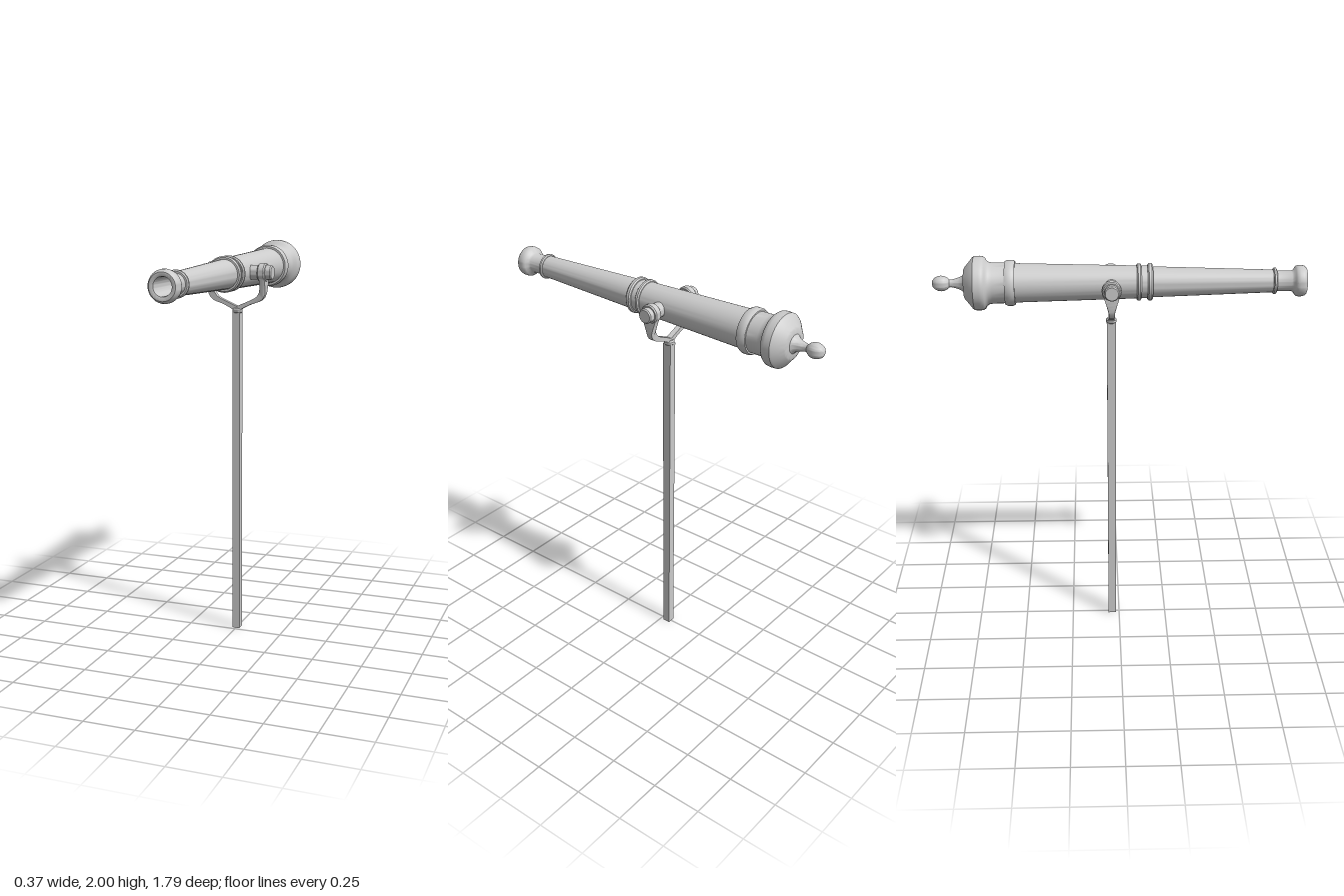
import * as THREE from 'three';
import { toCreasedNormals } from 'three/addons/utils/BufferGeometryUtils.js';

const AXIS_Y = 1.873; // height of the barrel axis
const PIVOT_Z = -0.037; // trunnions, fork and post
const mat = new THREE.MeshStandardMaterial({ color: 0xcccccc });

function add(group, name, geometry, x = 0, y = 0, z = 0) {
  const mesh = new THREE.Mesh(geometry, mat);
  mesh.name = name;
  mesh.position.set(x, y, z);
  group.add(mesh);
  return mesh;
}

// Turned part: profile of [radius, position along the axis], listed upward
function turned(profile, segments = 48, crease = 0.6) {
  const pts = profile.map(([r, a]) => new THREE.Vector2(r, a));
  return toCreasedNormals(new THREE.LatheGeometry(pts, segments), crease);
}

// Rounded moulding centred at a, from radius r0 before to r1 after
function moulding(a, half, peak, r0, r1) {
  return [[r0, a - half], [peak - 0.006, a - half], [peak, a - half * 0.5],
    [peak, a + half * 0.5], [peak - 0.006, a + half], [r1, a + half]];
}

function barrel() {
  return turned([
    // knob and neck
    [0, -0.891], [0.014, -0.888], [0.026, -0.879], [0.034, -0.864], [0.037, -0.848],
    [0.035, -0.832], [0.028, -0.818], [0.019, -0.808], [0.018, -0.8],
    [0.021, -0.785], [0.027, -0.765], [0.035, -0.748], [0.045, -0.739],
    // breech
    [0.07, -0.737], [0.077, -0.733], [0.098, -0.715], [0.121, -0.697], [0.128, -0.688],
    [0.129, -0.66], [0.127, -0.646], [0.12, -0.636], [0.108, -0.63], [0.1, -0.618], [0.097, -0.6],
    // tapering tube with mouldings
    ...moulding(-0.518, 0.024, 0.109, 0.096, 0.093),
    ...moulding(0.095, 0.011, 0.088, 0.078, 0.077),
    ...moulding(0.148, 0.013, 0.088, 0.077, 0.073),
    ...moulding(0.745, 0.009, 0.063, 0.054, 0.049),
    // muzzle swell
    [0.048, 0.825], [0.054, 0.835], [0.066, 0.842], [0.073, 0.85], [0.075, 0.863],
    [0.074, 0.878], [0.07, 0.889], [0.063, 0.896], [0.056, 0.897], [0.044, 0.892],
    // bore
    [0.041, 0.88], [0.039, 0.65], [0.03, 0.62], [0, 0.61],
  ]).rotateX(Math.PI / 2);
}

// U-shaped fork: curved outline, wider front to back near the eyes
function fork() {
  const curve = (pts) => new THREE.SplineCurve(pts.map(([x, y]) => new THREE.Vector2(x, y))).getPoints(40);
  const outer = [[0.152, 1.86], [0.153, 1.8], [0.148, 1.762], [0.125, 1.733], [0.07, 1.712], [0.026, 1.69], [0.018, 1.68]];
  const inner = [[0, 1.703], [0.03, 1.716], [0.08, 1.738], [0.108, 1.757], [0.122, 1.79], [0.126, 1.86]];
  const right = [...curve(outer).reverse(), ...curve(inner).reverse()];
  // closed outline: up the +x outside, along the inside, down the -x outside
  const out = curve(outer).reverse();
  const inn = curve(inner).reverse();
  const flip = (p) => new THREE.Vector2(-p.x, p.y);
  const outline = [...out, ...inn, ...inn.slice(0, -1).reverse().map(flip), ...out.slice().reverse().map(flip)];
  const geo = new THREE.ExtrudeGeometry(new THREE.Shape(outline), {
    depth: 2, steps: 1, bevelEnabled: false,
  }).translate(0, 0, -1);
  const pos = geo.attributes.position;
  for (let i = 0; i < pos.count; i++) {
    const flare = THREE.MathUtils.smoothstep(pos.getY(i), 1.76, 1.86);
    pos.setZ(i, pos.getZ(i) * (0.014 + 0.024 * flare));
  }
  return toCreasedNormals(geo, 0.6);
}

export function createModel() {
  const model = new THREE.Group();
  model.name = 'swivelGun';

  add(model, 'barrel', barrel(), 0, AXIS_Y, 0);

  // Trunnions and the fork eyes around them
  for (const side of [1, -1]) {
    const name = side > 0 ? 'left' : 'right';
    const pin = turned([[0, 0.04], [0.036, 0.04], [0.036, 0.179], [0.031, 0.185], [0, 0.185]], 32);
    const eye = turned([[0.034, 0.116], [0.042, 0.116], [0.047, 0.122], [0.047, 0.149],
      [0.042, 0.155], [0.034, 0.155]], 32);
    for (const [part, geo] of [['Trunnion', pin], ['ForkEye', eye]]) {
      add(model, name + part, geo.rotateZ(-side * Math.PI / 2), 0, AXIS_Y, PIVOT_Z);
    }
  }

  add(model, 'fork', fork(), 0, 0, PIVOT_Z);

  // Collar under the fork
  add(model, 'collar', turned([[0, 1.67], [0.022, 1.67], [0.026, 1.675], [0.026, 1.686],
    [0.02, 1.693], [0, 1.695]], 24), 0, 0, PIVOT_Z);

  // Square post, slightly slimmer at the foot
  const post = new THREE.BoxGeometry(0.038, 1.675, 0.044);
  const pos = post.attributes.position;
  for (let i = 0; i < pos.count; i++) {
    if (pos.getY(i) < 0) pos.setZ(i, pos.getZ(i) * 0.9);
  }
  post.computeVertexNormals();
  add(model, 'post', post, 0, 1.675 / 2, PIVOT_Z);

  return model;
}
